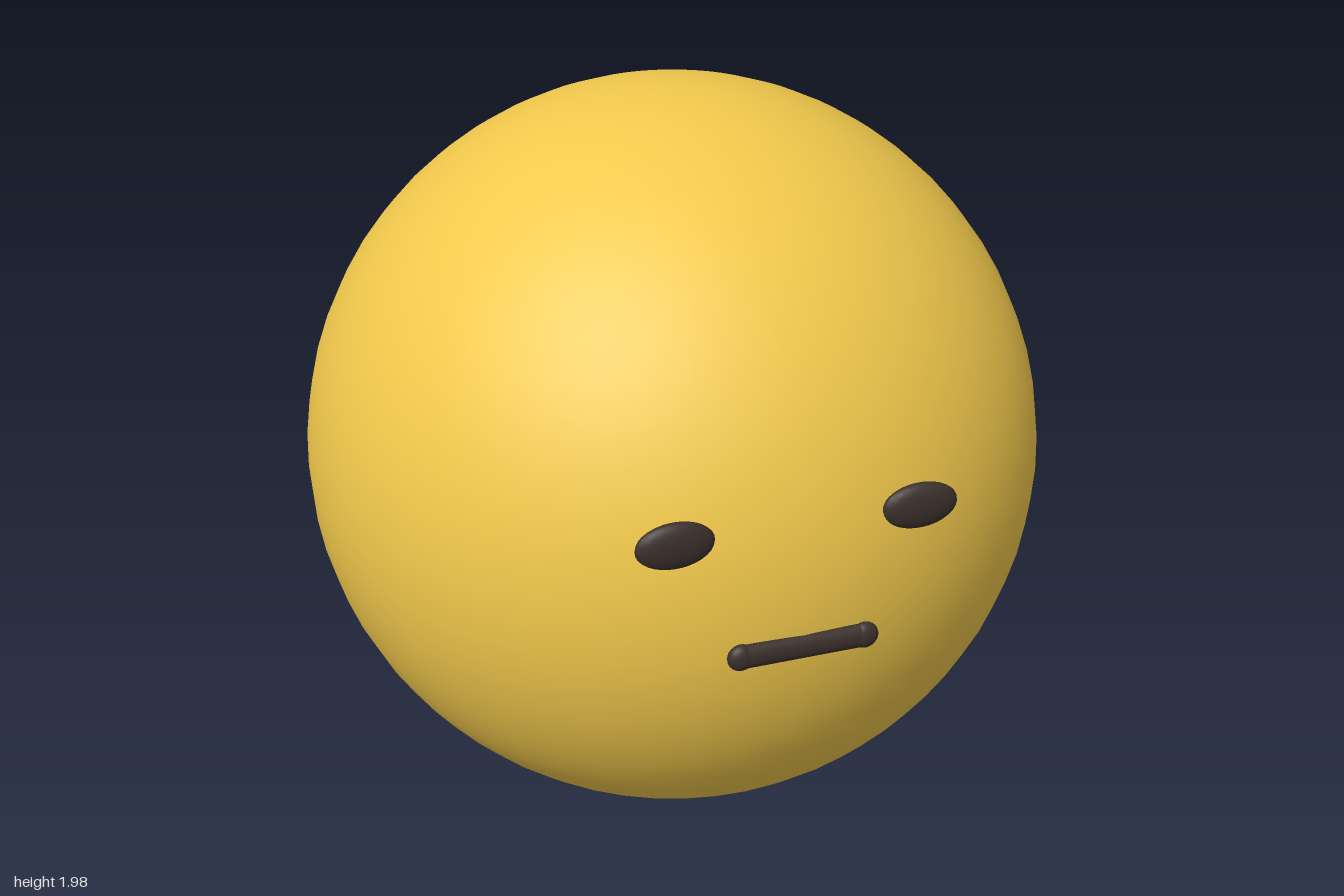
import * as THREE from 'three';

export function createModel() {
  const model = new THREE.Group();
  const yellow = new THREE.MeshStandardMaterial({ color: 0xf2c94c });
  const dark = new THREE.MeshStandardMaterial({ color: 0x3b302c });

  const add = (parent, name, geometry, material, x, y, z) => {
    const mesh = new THREE.Mesh(geometry, material);
    mesh.name = name;
    mesh.position.set(x, y, z);
    parent.add(mesh);
    return mesh;
  };

  // Round head
  add(model, 'head', new THREE.SphereGeometry(0.992, 48, 32), yellow, 0, 0.992, -0.008);

  // Flattened oval eyes
  for (const [side, name] of [[1, 'leftEye'], [-1, 'rightEye']]) {
    add(model, name, new THREE.SphereGeometry(1, 24, 16), dark, side * 0.3, 1.217, 0.931)
      .scale.set(0.095, 0.059, 0.027);
  }

  // Straight mouth: a flattened bar with rounded ends
  const mouth = new THREE.Group();
  mouth.name = 'mouth';
  mouth.position.set(0, 0.918, 0.98);
  mouth.scale.z = 0.62;
  add(mouth, 'mouthBar', new THREE.CylinderGeometry(0.031, 0.031, 0.31, 20), dark, 0, 0, 0)
    .rotation.z = Math.PI / 2;
  for (const side of [1, -1]) {
    add(mouth, side > 0 ? 'mouthEndLeft' : 'mouthEndRight',
      new THREE.SphereGeometry(0.034, 20, 14), dark, side * 0.155, 0, 0);
  }
  model.add(mouth);

  return model;
}
